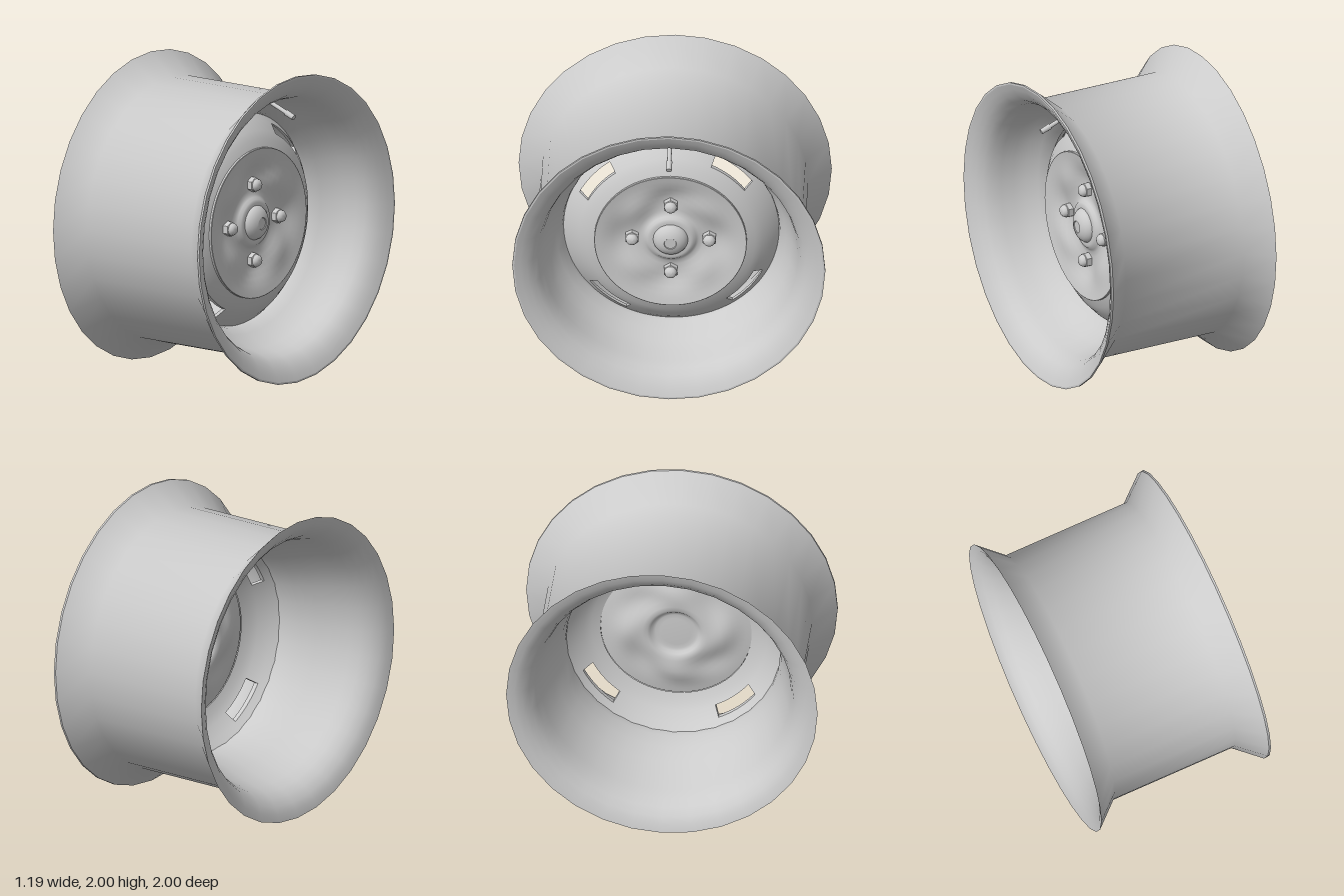
import * as THREE from 'three';
import { toCreasedNormals } from 'three/addons/utils/BufferGeometryUtils.js';

const SEG = 32;
const mat = new THREE.MeshStandardMaterial({ color: 0xcccccc, side: THREE.DoubleSide });
const deg = THREE.MathUtils.degToRad;
const toPoints = (list) => list.map(([r, a]) => new THREE.Vector2(r, a));

// Vent slots: radii, first angle and span, repeated every quarter turn
const SLOT = { inner: 0.588, outer: 0.65, start: -53, span: 27 };

function addMesh(parent, name, geometry) {
  const mesh = new THREE.Mesh(geometry, mat);
  mesh.name = name;
  parent.add(mesh);
  return mesh;
}

// Revolve a [radius, axial] profile
function turned(list, crease = 0.8, seg = SEG, start = 0, length = Math.PI * 2) {
  return toCreasedNormals(new THREE.LatheGeometry(toPoints(list), seg, start, length), crease);
}

// Front and back points of the domed outer ring at a radius
function ringFront(r) {
  const t = (r - 0.485) / 0.2;
  return [r, 0.27 - 0.05 * t - 0.1 * t * t];
}
function ringBack(r) {
  const [, a] = ringFront(r);
  return [r, a - 0.03];
}

// Drop the triangles of a revolved ring that lie inside the slots
function cutSlots(geometry) {
  const p = geometry.attributes.position.array, n = geometry.attributes.normal.array;
  const pos = [], nor = [];
  for (let i = 0; i < p.length; i += 9) {
    const x = (p[i] + p[i + 3] + p[i + 6]) / 3, z = (p[i + 2] + p[i + 5] + p[i + 8]) / 3;
    const r = Math.hypot(x, z);
    const turn = (THREE.MathUtils.radToDeg(Math.atan2(x, z)) - SLOT.start + 360) % 90;
    if (r > SLOT.inner && r < SLOT.outer && turn < SLOT.span) continue;
    pos.push(...p.subarray(i, i + 9));
    nor.push(...n.subarray(i, i + 9));
  }
  const cut = new THREE.BufferGeometry();
  cut.setAttribute('position', new THREE.Float32BufferAttribute(pos, 3));
  cut.setAttribute('normal', new THREE.Float32BufferAttribute(nor, 3));
  return cut;
}

// Pressed pinwheel waves around the bolt circle
function pressWaves(geometry) {
  const p = geometry.attributes.position;
  for (let i = 0; i < p.count; i++) {
    const x = p.getX(i), z = p.getZ(i), r = Math.hypot(x, z);
    const fade = Math.max(0, 1 - Math.abs(r - 0.31) / 0.12);
    const wave = -Math.cos(4 * Math.atan2(x, z) + 5 * (r - 0.3));
    p.setY(i, p.getY(i) + 0.024 * wave * fade);
  }
  return toCreasedNormals(geometry, 0.8);
}

export function createModel() {
  const root = new THREE.Group();
  root.name = 'wheelRim';
  const wheel = new THREE.Group();
  wheel.name = 'wheel';
  wheel.rotation.z = -Math.PI / 2; // axle along x, face towards +x
  wheel.position.y = 1;
  root.add(wheel);

  // Barrel: straight outside with flared ends, bell-mouthed inside with a narrow waist
  addMesh(wheel, 'barrelOutside', turned([
    [1, -0.597], [0.855, -0.435], [0.855, 0.415], [1, 0.583],
  ], 1.1));
  addMesh(wheel, 'frontLip', turned([[1, 0.583], [1, 0.597], [0.988, 0.597]], 0.8));
  addMesh(wheel, 'barrelInside', turned([
    [0.988, 0.597], [0.95, 0.581], [0.91, 0.557], [0.87, 0.524], [0.842, 0.48], [0.823, 0.42],
    [0.804, 0.34], [0.775, 0.265], [0.735, 0.2], [0.698, 0.145], [0.688, 0.1], [0.69, 0.04],
    [0.71, -0.06], [0.745, -0.17], [0.785, -0.29], [0.81, -0.39], [0.832, -0.46],
    [0.862, -0.515], [0.905, -0.558], [0.95, -0.584], [1, -0.597],
  ]));

  // Disc ring with its four vent slots
  const disc = new THREE.Group();
  disc.name = 'disc';
  wheel.add(disc);
  const radii = [0.485, 0.54, SLOT.inner, SLOT.outer, 0.688];
  const section = [...radii.map(ringBack), ...radii.map(ringFront).reverse()];
  addMesh(disc, 'slottedRing', cutSlots(turned(section, 0.5, 120, deg(SLOT.start))));
  const opening = [ringBack(SLOT.inner), ringBack(SLOT.outer), ringFront(SLOT.outer), ringFront(SLOT.inner)];
  for (let i = 0; i < 4; i++) {
    const start = deg(SLOT.start + 90 * i), span = deg(SLOT.span);
    for (const r of [SLOT.inner, SLOT.outer]) {
      addMesh(disc, 'slotSide', turned([ringBack(r), ringFront(r)], 0.8, 9, start, span));
    }
    for (const angle of [start, start + span]) {
      const end = addMesh(disc, 'slotEnd', new THREE.ShapeGeometry(new THREE.Shape(toPoints(opening))));
      end.rotation.y = angle - Math.PI / 2;
    }
  }

  // Dished centre with a raised edge, front and back
  const dish = [[0.485, 0.285], [0.45, 0.278], [0.41, 0.27], [0.37, 0.261], [0.33, 0.252], [0.29, 0.243],
    [0.25, 0.235], [0.21, 0.229], [0.18, 0.23], [0.163, 0.24], [0.149, 0.256], [0.13, 0.262], [0.1, 0.26]];
  const back = dish.map(([r, a]) => [r, a - 0.04]).reverse();
  addMesh(disc, 'dishEdge', turned([[0.488, 0.255], [0.488, 0.283], [0.485, 0.285]], 0.5, 64));
  addMesh(disc, 'dishFront', pressWaves(new THREE.LatheGeometry(toPoints(dish), 64)));
  addMesh(disc, 'dishBack', pressWaves(new THREE.LatheGeometry(toPoints([[0, 0.22], ...back]), 64)));

  // Hub cap with a small flat end
  addMesh(wheel, 'hubCap', turned([
    [0.112, 0.25], [0.112, 0.262], [0.104, 0.278], [0.086, 0.296], [0.06, 0.309], [0.04, 0.314],
    [0.037, 0.309], [0, 0.309],
  ], 0.6, 24));

  // Lug nuts: hexagonal body under a rounded cap
  for (let i = 0; i < 4; i++) {
    const a = i * Math.PI / 2;
    const nut = new THREE.Group();
    nut.name = 'lugNut';
    nut.position.set(0.247 * Math.sin(a), 0.21, 0.247 * Math.cos(a));
    addMesh(nut, 'nutBody', turned([[0.049, 0], [0.049, 0.05], [0.04, 0.056]], 0.3, 6, Math.PI / 2));
    addMesh(nut, 'nutCap', turned([[0.041, 0.054], [0.037, 0.07], [0.028, 0.081], [0.014, 0.087], [0, 0.088]], 0.8, 12));
    wheel.add(nut);
  }

  // Valve stem with its cap, leaning towards the axle
  const valve = new THREE.Group();
  valve.name = 'valve';
  valve.position.set(-0.802, 0.385, 0);
  valve.rotation.z = -0.37;
  addMesh(valve, 'valveStem', new THREE.CylinderGeometry(0.014, 0.014, 0.14, 10)).position.y = 0.07;
  addMesh(valve, 'valveCap', new THREE.CylinderGeometry(0.018, 0.02, 0.07, 10)).position.y = 0.165;
  wheel.add(valve);

  return root;
}
